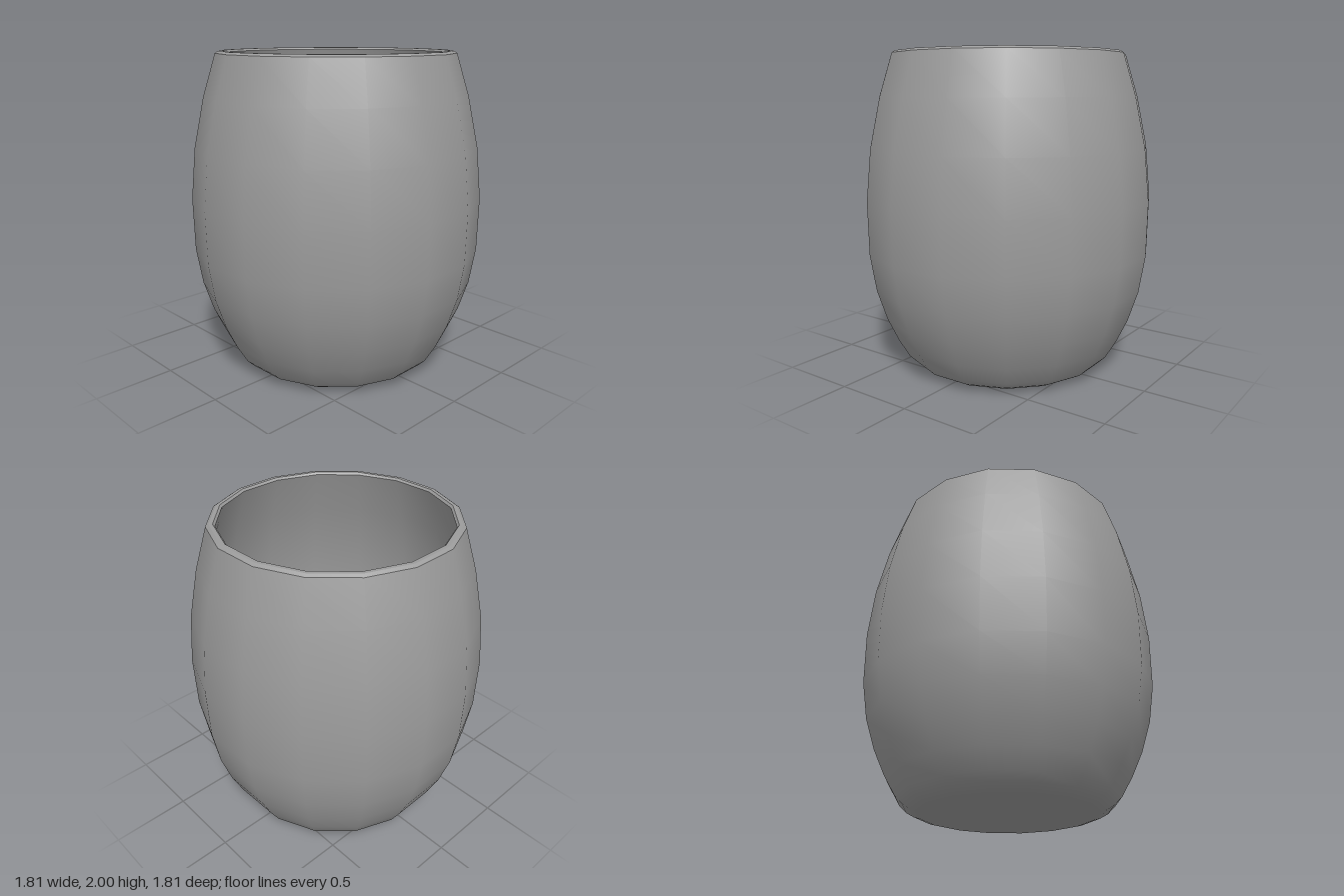
import * as THREE from 'three';

const SIDES = 16;
const TURN = THREE.MathUtils.degToRad(12.4); // slight twist of the 16-sided outline

// Revolves a profile of [radius, height] pairs; outward faces follow rising points
function revolve(name, profile, material) {
  const points = profile.map(([r, y]) => new THREE.Vector2(r, y));
  const geometry = new THREE.LatheGeometry(points, SIDES, TURN, Math.PI * 2);
  geometry.normalizeNormals(); // even shading at the profile ends
  const mesh = new THREE.Mesh(geometry, material);
  mesh.name = name;
  return mesh;
}

export function createModel() {
  const group = new THREE.Group();
  group.name = 'tumbler';
  const material = new THREE.MeshStandardMaterial({ color: 0x9c9c9c });

  // Barrel-shaped outside, blending softly into the flat base
  const outer = [
    [0.51, 0], [0.54, 0.002], [0.58, 0.013], [0.628, 0.04], [0.675, 0.085], [0.743, 0.2],
    [0.813, 0.35], [0.874, 0.54], [0.911, 0.77], [0.917, 1.1], [0.886, 1.42],
    [0.82, 1.73], [0.74, 1.987],
  ];
  // Hollow inside, from the lip down to the floor
  const inner = [
    [0.686, 1.987], [0.775, 1.71], [0.841, 1.41], [0.872, 1.1], [0.867, 0.78],
    [0.83, 0.56], [0.77, 0.37], [0.705, 0.225], [0.645, 0.12], [0.6, 0.075],
    [0.555, 0.052], [0.52, 0.045],
  ];

  group.add(
    revolve('base', [[0, 0], [0.51, 0]], material),
    revolve('outerWall', outer, material),
    // Lip with a small chamfer on each edge
    revolve('outerRimChamfer', [[0.74, 1.987], [0.721, 2]], material),
    revolve('rimTop', [[0.721, 2], [0.698, 2]], material),
    revolve('innerRimChamfer', [[0.698, 2], [0.686, 1.987]], material),
    revolve('innerWall', inner, material),
    revolve('innerFloor', [[0.52, 0.045], [0, 0.045]], material),
  );
  return group;
}
